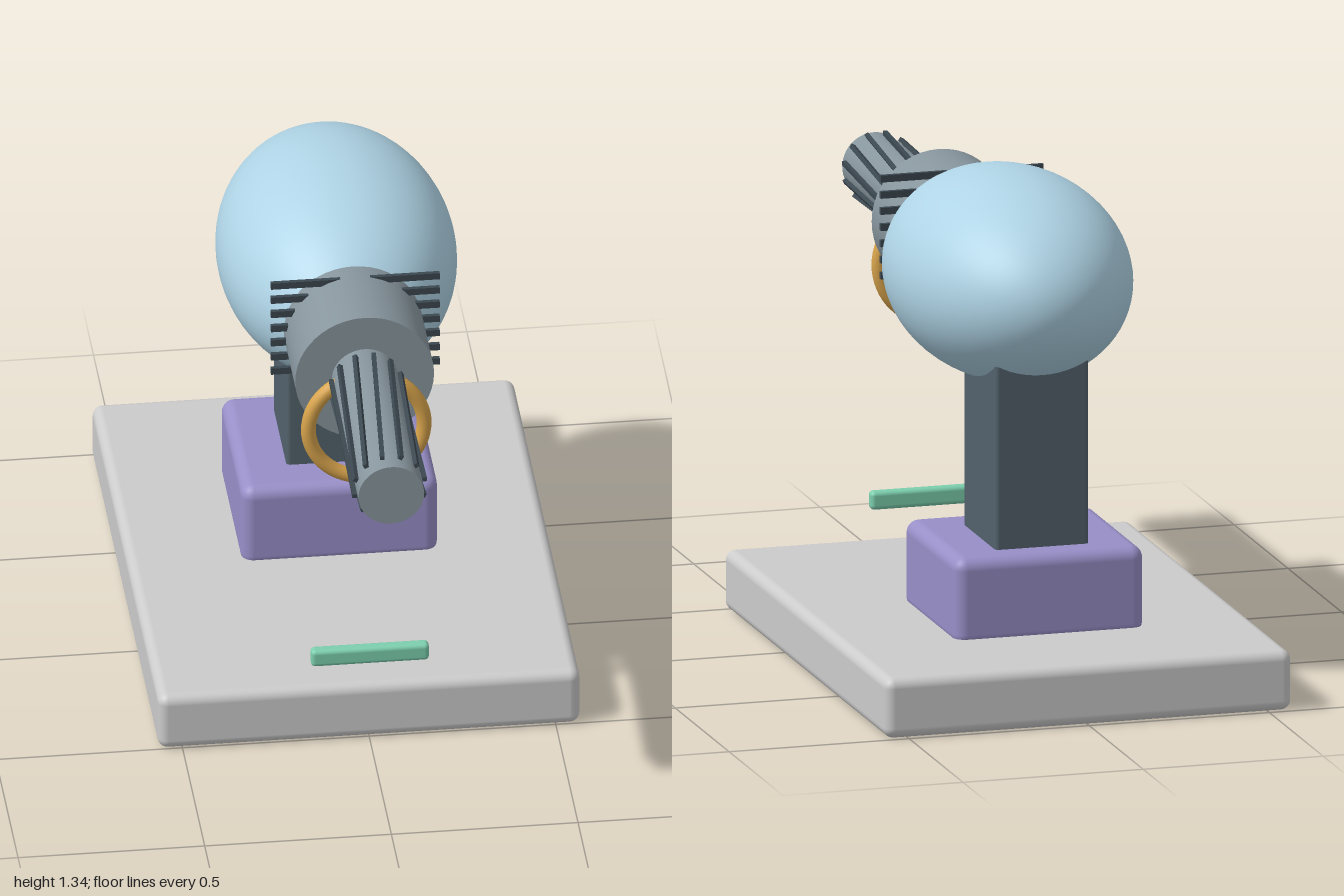
import * as THREE from 'three';
import { RoundedBoxGeometry } from 'three/addons/geometries/RoundedBoxGeometry.js';

const AXIS_Y = 1.06; // height of the head, collar and barrel axis

const colors = {
  base: 0xd2d2ce, plinth: 0x988fc8, column: 0x52626c, shell: 0xafd4e6,
  metal: 0x87959d, dark: 0x3c4850, gold: 0xd8a44c, green: 0x7ccfae,
};

export function createModel() {
  const model = new THREE.Group();
  model.name = 'mountedHead';
  const mats = {};
  for (const key in colors) mats[key] = new THREE.MeshStandardMaterial({ color: colors[key] });

  const add = (name, geometry, mat, x, y, z, parent = model) => {
    const mesh = new THREE.Mesh(geometry, mats[mat]);
    mesh.name = name;
    mesh.position.set(x, y, z);
    parent.add(mesh);
    return mesh;
  };
  const rounded = (w, h, d, r) => new RoundedBoxGeometry(w, h, d, 4, r);
  const rod = (r, length) => new THREE.CylinderGeometry(r, r, length, 48).rotateX(Math.PI / 2);

  // Stand
  add('base', rounded(1.13, 0.165, 1.51, 0.028), 'base', 0, 0.0825, -0.245);
  add('plinth', rounded(0.526, 0.245, 0.488, 0.035), 'plinth', 0, 0.2635, -0.396);
  add('column', rounded(0.26, 0.63, 0.297, 0.012), 'column', 0, 0.635, -0.416);

  // Egg-shaped head
  const shell = new THREE.SphereGeometry(1, 64, 40).rotateX(Math.PI / 2);
  shell.scale(0.319, 0.281, 0.475);
  add('headShell', shell, 'shell', 0, AXIS_Y + 0.002, -0.241);

  // Collar and barrel
  add('collar', rod(0.186, 0.262), 'metal', 0, AXIS_Y, 0.268);
  add('barrel', rod(0.088, 0.62), 'metal', 0, AXIS_Y, 0.69);

  // Horizontal vent slats running through the collar
  const slats = new THREE.Group();
  slats.name = 'ventSlats';
  model.add(slats);
  const slatGeometry = new THREE.BoxGeometry(0.452, 0.019, 0.012);
  for (let i = 0; i < 7; i++) {
    add('ventSlat', slatGeometry, 'dark', 0, 0.966 + i * 0.0443, 0.185, slats);
  }

  // Slanted ribs around the barrel
  const ribs = new THREE.Group();
  ribs.name = 'barrelRibs';
  ribs.position.set(0, AXIS_Y, 0.7);
  model.add(ribs);
  const ribGeometry = new THREE.BoxGeometry(0.012, 0.012, 0.525);
  ribGeometry.rotateY(-0.075).translate(0, 0.094, 0);
  for (let i = 0; i < 12; i++) {
    add('barrelRib', ribGeometry, 'dark', 0, 0, 0, ribs).rotation.z = (i / 12) * Math.PI * 2;
  }

  // Ring hanging from the barrel
  add('hangingRing', new THREE.TorusGeometry(0.155, 0.02, 16, 64), 'gold', 0, 0.93, 0.435);

  // Small bar floating over the front edge of the base
  add('frontBar', rounded(0.316, 0.05, 0.035, 0.012), 'green', 0, 0.267, 0.512);

  return model;
}
